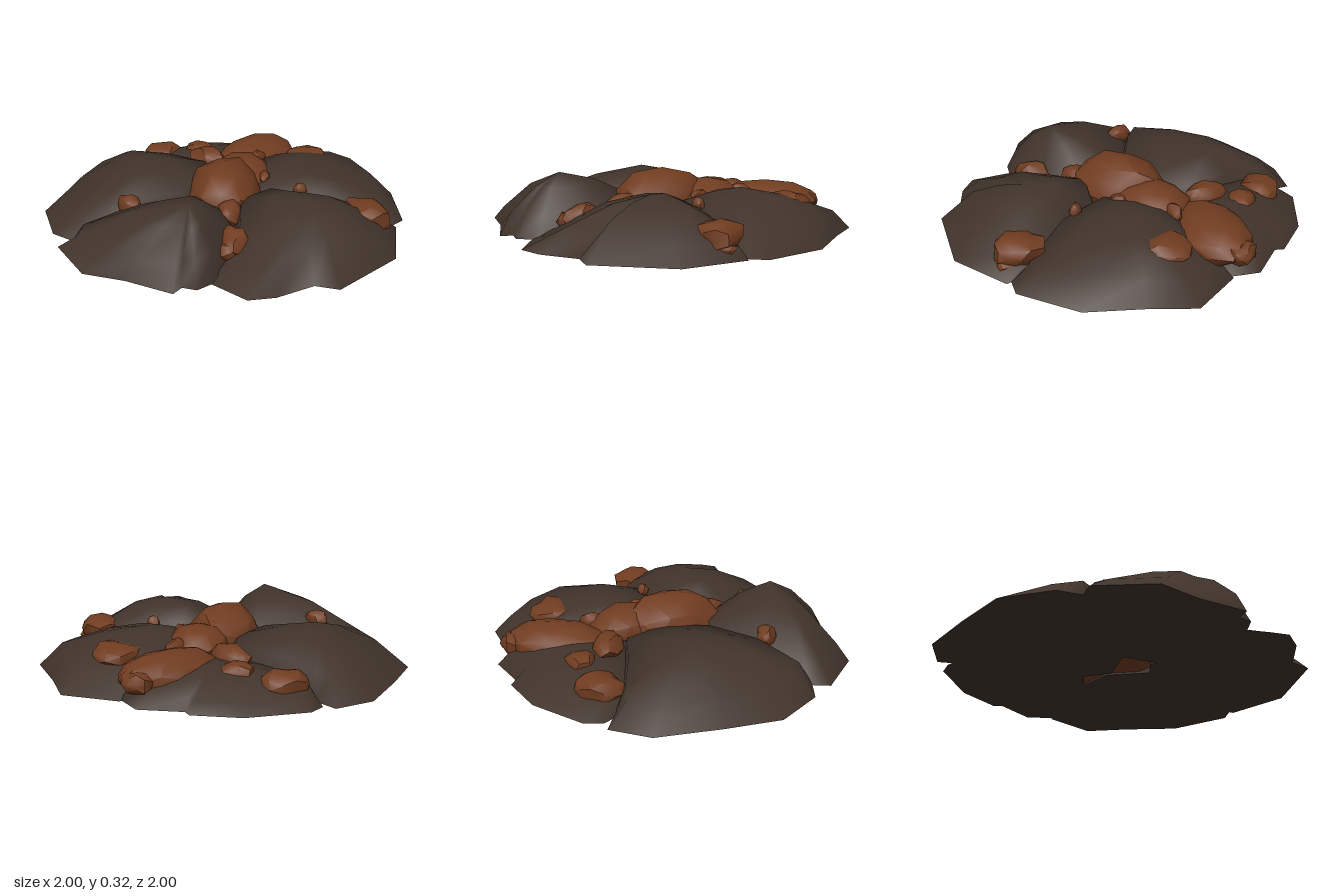
import * as THREE from 'three';
import { mergeVertices, toCreasedNormals } from 'three/addons/utils/BufferGeometryUtils.js';

const darkRock = new THREE.MeshStandardMaterial({ color: 0x40332b });
const rustRock = new THREE.MeshStandardMaterial({ color: 0x703c20 });

// Mound lofted from a ground outline of [x, z, inset, shoulderHeight] up to a peak [x, y, z];
// rise is the share of the remaining height gained at the upper ring
function mound(name, peak, rise, outline) {
  const n = outline.length, pos = [], idx = [];
  const [px, py, pz] = peak;
  const ring = (f) => outline.forEach(([x, z, t, h]) => {
    const [k, y] = f(t, h);
    pos.push(x + (px - x) * k, y, z + (pz - z) * k);
  });
  ring(() => [0, 0]);
  ring((t, h) => [t, h]);
  ring((t, h) => [t + (1 - t) * 0.5, h + (py - h) * rise]);
  for (let r = 0; r < 2; r++) {
    for (let i = 0; i < n; i++) {
      const j = (i + 1) % n, a = r * n + i, b = r * n + j;
      idx.push(a, b, b + n, a, b + n, a + n);
    }
  }
  const top = pos.length / 3;
  pos.push(px, py, pz);
  for (let i = 0; i < n; i++) idx.push(2 * n + i, 2 * n + (i + 1) % n, top);
  // flat underside
  for (let i = 0; i < n; i++) pos.push(outline[i][0], 0, outline[i][1]);
  const base = top + 1 + n;
  pos.push(px, 0, pz);
  for (let i = 0; i < n; i++) idx.push(top + 1 + (i + 1) % n, top + 1 + i, base);
  const geo = new THREE.BufferGeometry();
  geo.setAttribute('position', new THREE.Float32BufferAttribute(pos, 3));
  geo.setIndex(idx);
  geo.computeVertexNormals();
  const mesh = new THREE.Mesh(geo, darkRock);
  mesh.name = name;
  return mesh;
}

// Irregular stone: a jittered icosphere stretched to size and cut off just above the ground
function stone(name, [x, y, z], [sx, sy, sz], turn, seed, rough) {
  let geo = new THREE.IcosahedronGeometry(1, 1);
  geo.deleteAttribute('normal');
  geo.deleteAttribute('uv');
  geo = mergeVertices(geo);
  const p = geo.attributes.position, v = new THREE.Vector3();
  let s = seed * 7919;
  const rand = () => (s = (s * 16807 + 11) % 2147483647) / 2147483647;
  for (let i = 0; i < p.count; i++) {
    v.fromBufferAttribute(p, i).multiplyScalar(1 + rough * (2 * rand() - 1));
    p.setXYZ(i, v.x * sx, Math.max(Math.min(v.y, 1) * sy, 0.015 - y), v.z * sz);
  }
  const mesh = new THREE.Mesh(toCreasedNormals(geo, 0.7), rustRock);
  mesh.name = name;
  mesh.position.set(x, y, z);
  mesh.rotation.y = turn;
  return mesh;
}

export function createModel() {
  const group = new THREE.Group();
  group.name = 'rockPile';

  // Five dark mounds; outlines run counter-clockwise as seen from above
  group.add(
    mound('backRightMound', [-0.42, 0.26, -0.4], 0.65, [
      [-0.33, -0.98, 0.22, 0.11], [-0.55, -0.92, 0.22, 0.09], [-0.78, -0.66, 0.22, 0.1],
      [-0.97, -0.42, 0.3, 0.08], [-0.99, -0.12, 0.2, 0.1], [-0.9, 0.02, 0.12, 0.12],
      [-0.6, 0.04, 0.1, 0.18], [-0.25, 0.06, 0.14, 0.18], [0.02, -0.08, 0.2, 0.18],
      [0.05, -0.38, 0.1, 0.17], [-0.13, -0.62, 0.12, 0.17], [-0.27, -0.85, 0.14, 0.13],
    ]),
    mound('frontRightMound', [-0.4, 0.325, 0.45], 0.65, [
      [-0.9, -0.02, 0.1, 0.1], [-1, 0.04, 0.16, 0.08], [-0.95, 0.37, 0.16, 0.08],
      [-0.77, 0.52, 0.17, 0.09], [-0.59, 0.73, 0.18, 0.12], [-0.53, 0.69, 0.2, 0.13],
      [-0.47, 0.74, 0.2, 0.12], [-0.34, 0.7, 0.22, 0.13], [-0.08, 0.47, 0.25, 0.13],
      [-0.06, 0.2, 0.25, 0.16], [-0.2, 0.0, 0.12, 0.17], [-0.6, -0.02, 0.1, 0.16],
    ]),
    mound('frontMound', [0.22, 0.265, 0.5], 0.72, [
      [-0.16, 0.4, 0.15, 0.15], [-0.4, 0.68, 0.25, 0.08], [-0.28, 0.92, 0.3, 0.08],
      [-0.14, 0.95, 0.33, 0.15], [0.08, 0.92, 0.36, 0.12], [0.18, 1, 0.4, 0.19],
      [0.6, 0.83, 0.2, 0.1], [0.79, 0.52, 0.2, 0.08], [0.65, 0.36, 0.15, 0.12],
      [0.4, 0.2, 0.2, 0.17], [0.18, 0.1, 0.15, 0.19], [-0.05, 0.15, 0.15, 0.18],
    ]),
    mound('leftMound', [0.44, 0.24, -0.08], 0.65, [
      [0.48, -0.52, 0.18, 0.12], [0.22, -0.35, 0.15, 0.15], [0.04, -0.12, 0.25, 0.16],
      [0.06, 0.14, 0.25, 0.16], [0.4, 0.36, 0.15, 0.15], [0.77, 0.5, 0.12, 0.06],
      [0.87, 0.46, 0.2, 0.08], [1, 0.12, 0.22, 0.13], [0.95, -0.2, 0.14, 0.13],
      [0.93, -0.45, 0.16, 0.1], [0.66, -0.62, 0.2, 0.07],
    ]),
    mound('backMound', [0.18, 0.16, -0.62], 0.65, [
      [0.37, -0.9, 0.15, 0.05], [0.13, -1, 0.15, 0.05], [-0.2, -1, 0.15, 0.04],
      [-0.28, -0.94, 0.15, 0.06], [-0.3, -0.75, 0.1, 0.09], [-0.16, -0.5, 0.1, 0.1],
      [0.05, -0.25, 0.1, 0.12], [0.45, -0.35, 0.1, 0.12], [0.65, -0.6, 0.1, 0.08],
      [0.6, -0.76, 0.14, 0.07], [0.38, -0.85, 0.15, 0.06],
    ]),
  );

  // Rust boulders in the central gully
  group.add(
    stone('centralBoulder', [-0.02, 0.14, 0.0], [0.205, 0.185, 0.28], -0.5, 3, 0.06),
    stone('middleBoulder', [0.16, 0.12, -0.18], [0.18, 0.14, 0.23], -0.35, 5, 0.06),
    stone('backBoulder', [0.38, 0.1, -0.51], [0.3, 0.12, 0.2], 0.35, 8, 0.07),
  );

  // Small stones: position, half sizes, turn
  [
    [[-0.14, 0.08, -0.79], [0.13, 0.08, 0.11], 0.2],
    [[0.08, 0.12, -0.68], [0.09, 0.06, 0.08], -0.6],
    [[0.06, 0.14, -0.48], [0.08, 0.08, 0.13], 0.4],
    [[0.63, 0.14, -0.27], [0.14, 0.07, 0.13], -0.5],
    [[0.61, 0.1, 0.48], [0.125, 0.085, 0.14], 0.3],
    [[-0.6, 0.18, 0.05], [0.05, 0.06, 0.08], 0.5],
    [[-0.19, 0.11, 0.53], [0.08, 0.08, 0.11], -0.4],
    [[-0.23, 0.09, 0.58], [0.08, 0.05, 0.06], 0.2],
    [[-0.11, 0.14, 0.27], [0.07, 0.07, 0.09], -0.4],
    [[0.31, 0.17, -0.31], [0.07, 0.05, 0.04], 0.4],
    [[0.34, 0.18, 0.22], [0.04, 0.04, 0.03], -0.4],
    [[0.22, 0.18, 0.0], [0.03, 0.04, 0.05], -0.5],
    [[0.57, 0.1, -0.64], [0.08, 0.06, 0.1], 0.2],
    [[0.62, 0.05, 0.54], [0.11, 0.04, 0.07], 0],
  ].forEach(([p, s, turn], i) => group.add(stone('smallStone' + (i + 1), p, s, turn, i + 11, 0.14)));

  return group;
}
